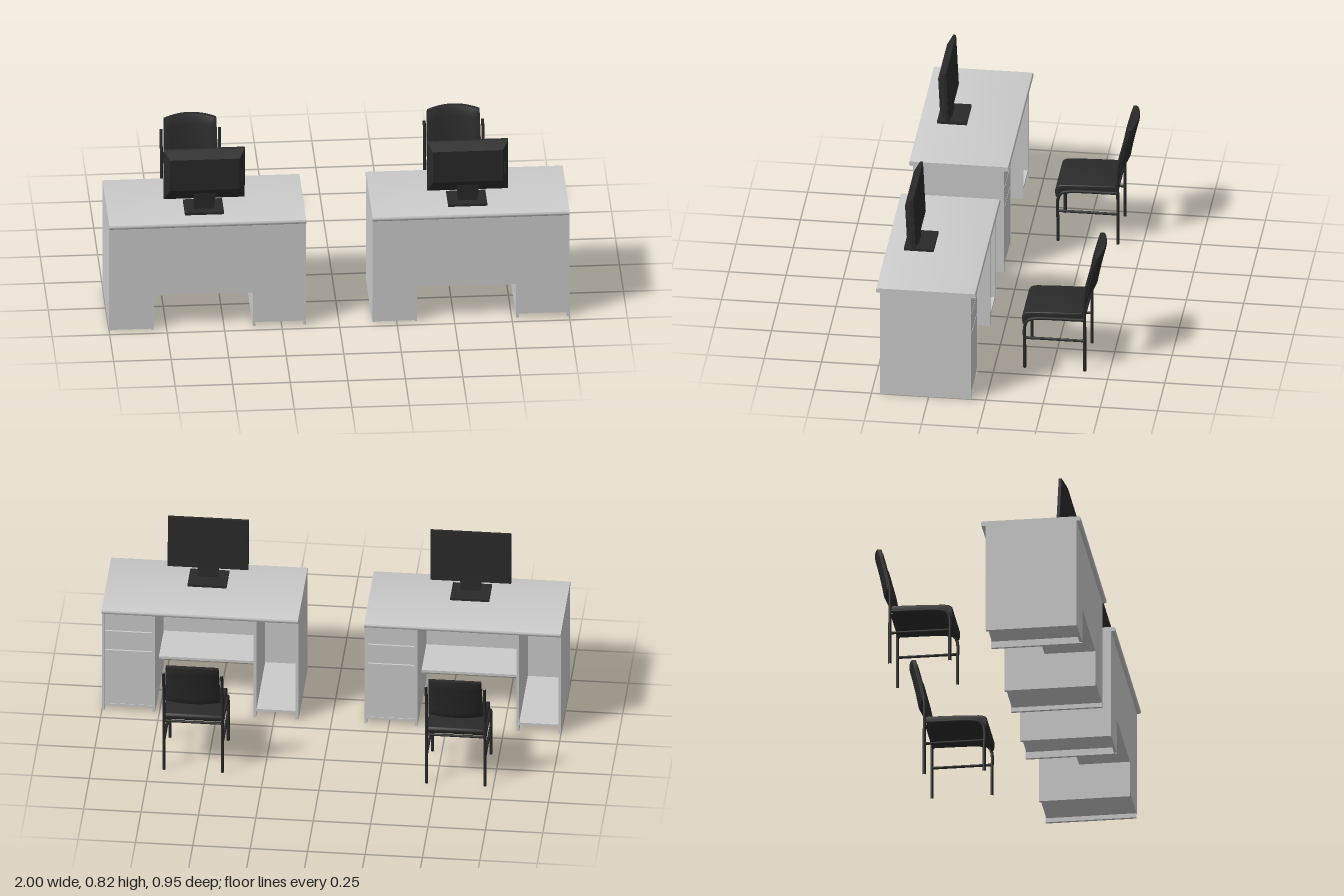
import * as THREE from 'three';
import { toCreasedNormals } from 'three/addons/utils/BufferGeometryUtils.js';

const grey = new THREE.MeshStandardMaterial({ color: 0xcccccc });
const dark = new THREE.MeshStandardMaterial({ color: 0x2a2a2a });

function add(parent, name, geometry, material) {
  const mesh = new THREE.Mesh(geometry, material);
  mesh.name = name;
  parent.add(mesh);
  return mesh;
}

// Box given by its limits on each axis
function box(parent, name, [x0, x1], [y0, y1], [z0, z1], material) {
  const mesh = add(parent, name, new THREE.BoxGeometry(x1 - x0, y1 - y0, z1 - z0), material);
  mesh.position.set((x0 + x1) / 2, (y0 + y1) / 2, (z0 + z1) / 2);
  return mesh;
}

// Side profile (z, y) extruded along x and centred on x = 0
function extrudeX(shape, width, bevel = 0) {
  const g = new THREE.ExtrudeGeometry(shape, {
    depth: width - 2 * bevel, curveSegments: 6, bevelEnabled: bevel > 0,
    bevelSize: bevel, bevelThickness: bevel, bevelOffset: -bevel, bevelSegments: 3,
  });
  g.translate(0, 0, -(width - 2 * bevel) / 2).rotateY(-Math.PI / 2);
  return toCreasedNormals(g, 0.7);
}

function tube(parent, name, points, radius) {
  const path = new THREE.CurvePath();
  const v = points.map(p => new THREE.Vector3(...p));
  for (let i = 1; i < v.length; i++) path.add(new THREE.LineCurve3(v[i - 1], v[i]));
  const curve = v.length > 2 ? new THREE.CatmullRomCurve3(v, false, 'centripetal') : path;
  return add(parent, name, new THREE.TubeGeometry(curve, v.length > 2 ? 24 : 1, radius, 10), dark);
}

function createDesk() {
  const desk = new THREE.Group();
  desk.name = 'desk';
  const W = 0.428, t = 0.012, kneeR = -0.233, kneeL = 0.197;
  const zBack = 0.065, zFront = 0.463, H = 0.5;

  // Top with rounded long edges
  const z0 = 0.045, z1 = 0.48, r = 0.008, y0 = H, y1 = 0.521;
  const s = new THREE.Shape();
  s.moveTo(z0 + r, y0).lineTo(z1 - r, y0);
  s.quadraticCurveTo(z1, y0, z1, y0 + r).lineTo(z1, y1 - r);
  s.quadraticCurveTo(z1, y1, z1 - r, y1).lineTo(z0 + r, y1);
  s.quadraticCurveTo(z0, y1, z0, y1 - r).lineTo(z0, y0 + r);
  s.quadraticCurveTo(z0, y0, z0 + r, y0);
  add(desk, 'deskTop', extrudeX(s, 2 * W), grey);

  // Front panel with the knee cut-out
  const panel = new THREE.Shape([
    [-W, 0.004], [kneeR, 0.004], [kneeR, 0.165], [kneeL, 0.165],
    [kneeL, 0.02], [W, 0.02], [W, H], [-W, H],
  ].map(p => new THREE.Vector2(...p)));
  const front = new THREE.ExtrudeGeometry(panel, { depth: t, bevelEnabled: false });
  add(desk, 'frontPanel', front, grey).position.z = zFront - t;

  // Upright panels of the two pedestals
  for (const x of [-W, kneeR - t, kneeL, W - t])
    box(desk, 'sidePanel', [x, x + t], [0, H], [zBack, zFront - 0.001], grey);

  // Open cubby floor, drawer unit floor and knee shelf
  box(desk, 'cubbyFloor', [-W + t, kneeR - t], [0.03, 0.042], [zBack + 0.003, zFront - t], grey);
  box(desk, 'drawerFloor', [kneeL + t, W - t], [0.02, 0.032], [zBack + 0.003, zFront - t], grey);
  box(desk, 'kneeShelf', [kneeR, kneeL], [0.165, 0.177], [0.24, zFront - t], grey);

  // Drawer fronts
  for (const [a, b] of [[0.034, 0.305], [0.31, 0.402], [0.407, 0.495]])
    box(desk, 'drawerFront', [kneeL + t + 0.002, W - t - 0.002], [a, b], [zBack + 0.002, zBack + 0.016], grey);
  box(desk, 'drawerCarcass', [kneeL + t, W - t], [0.032, H], [zBack + 0.012, zBack + 0.018], grey);
  return desk;
}

function createMonitor() {
  const monitor = new THREE.Group();
  monitor.name = 'monitor';
  box(monitor, 'standBase', [-0.087, 0.083], [0.521, 0.532], [0.273, 0.403], dark);

  // Neck, narrowing towards the base
  const neck = new THREE.BoxGeometry(0.1, 0.085, 0.022);
  const n = neck.attributes.position;
  for (let i = 0; i < n.count; i++) {
    const top = n.getY(i) > 0;
    n.setX(i, n.getX(i) * (top ? 1 : 0.85));
    n.setZ(i, n.getZ(i) + (top ? 0.006 : 0));
  }
  neck.computeVertexNormals();
  add(monitor, 'standNeck', neck, dark).position.set(0, 0.574, 0.354);

  // Tilted screen with a tapered back shell
  const screen = new THREE.Group();
  screen.name = 'screen';
  screen.position.set(0, 0.7, 0.352);
  screen.rotation.x = 0.05;
  monitor.add(screen);
  const w = 0.176, h = 0.122;
  box(screen, 'bezel', [-w, w], [-h, h], [-0.006, 0.007], dark);
  box(screen, 'display', [-w + 0.008, w - 0.008], [-h + 0.012, h - 0.008], [-0.0068, -0.005], dark);
  const shell = new THREE.BoxGeometry(2 * w, 2 * h, 0.026);
  const p = shell.attributes.position;
  for (let i = 0; i < p.count; i++) {
    if (p.getZ(i) < 0) continue;
    p.setX(i, Math.sign(p.getX(i)) * 0.152);
    p.setY(i, p.getY(i) > 0 ? 0.085 : -0.068);
  }
  shell.computeVertexNormals();
  add(screen, 'backShell', shell, dark).position.z = 0.02;
  box(screen, 'portCover', [0.115, 0.165], [-0.035, 0.022], [0.01, 0.027], dark);
  return monitor;
}

function createChair() {
  const chair = new THREE.Group();
  chair.name = 'chair';
  const lx = 0.127, r = 0.0068;
  for (const x of [-lx, lx]) {
    // Front leg bends back under the seat
    tube(chair, 'frontLeg', [[x, 0, -0.13], [x, 0.1, -0.13], [x, 0.205, -0.13],
      [x, 0.233, -0.143], [x, 0.243, -0.17], [x, 0.25, -0.392]], r);
    // Rear leg carries on up beside the backrest
    tube(chair, 'rearLeg', [[x, 0, -0.392], [x, 0.2, -0.392], [x, 0.36, -0.392],
      [x, 0.42, -0.401], [x, 0.515, -0.425]], r);
    tube(chair, 'sideRail', [[x, 0.147, -0.13], [x, 0.147, -0.392]], 0.006);
  }
  for (const z of [-0.2, -0.385])
    tube(chair, 'seatCrossBar', [[-lx, 0.244, z], [lx, 0.244, z]], 0.006);

  // Seat with a waterfall front edge
  const s = new THREE.Shape();
  s.moveTo(-0.132, 0.208).lineTo(-0.12, 0.212);
  s.bezierCurveTo(-0.112, 0.25, -0.115, 0.27, -0.155, 0.272);
  s.lineTo(-0.25, 0.276).lineTo(-0.378, 0.279);
  s.quadraticCurveTo(-0.388, 0.277, -0.386, 0.262);
  s.quadraticCurveTo(-0.384, 0.246, -0.365, 0.246);
  s.lineTo(-0.2, 0.24);
  s.quadraticCurveTo(-0.135, 0.24, -0.132, 0.208);
  add(chair, 'seat', extrudeX(s, 0.246, 0.004), dark);

  // Backrest: a slab leaning back, curved across its width, with a crowned top
  const g = new THREE.BoxGeometry(0.238, 0.21, 0.03, 14, 10, 2);
  const p = g.attributes.position;
  for (let i = 0; i < p.count; i++) {
    const u = p.getX(i) / 0.119, v = p.getY(i) / 0.21 + 0.5;
    const edge = Math.max(Math.abs(u), Math.abs(2 * v - 1)) > 0.99 ? 0.6 : 1;
    const crown = 0.014 * v * u * u;
    p.setXYZ(i, p.getX(i) * (1 - 0.04 * v), 0.36 + v * 0.21 - crown,
      p.getZ(i) * edge - 0.415 - 0.034 * v - 0.012 * v * v + 0.022 * u * u);
  }
  add(chair, 'backrest', toCreasedNormals(g, 0.6), dark);
  return chair;
}

export function createModel() {
  const model = new THREE.Group();
  model.name = 'officeWorkstations';
  for (const x of [-0.572, 0.572]) {
    const station = new THREE.Group();
    station.name = 'workstation';
    const monitor = createMonitor(), chair = createChair();
    monitor.position.x = -0.007;
    chair.position.x = -0.014;
    station.add(createDesk(), monitor, chair);
    station.position.x = x;
    model.add(station);
  }
  return model;
}
